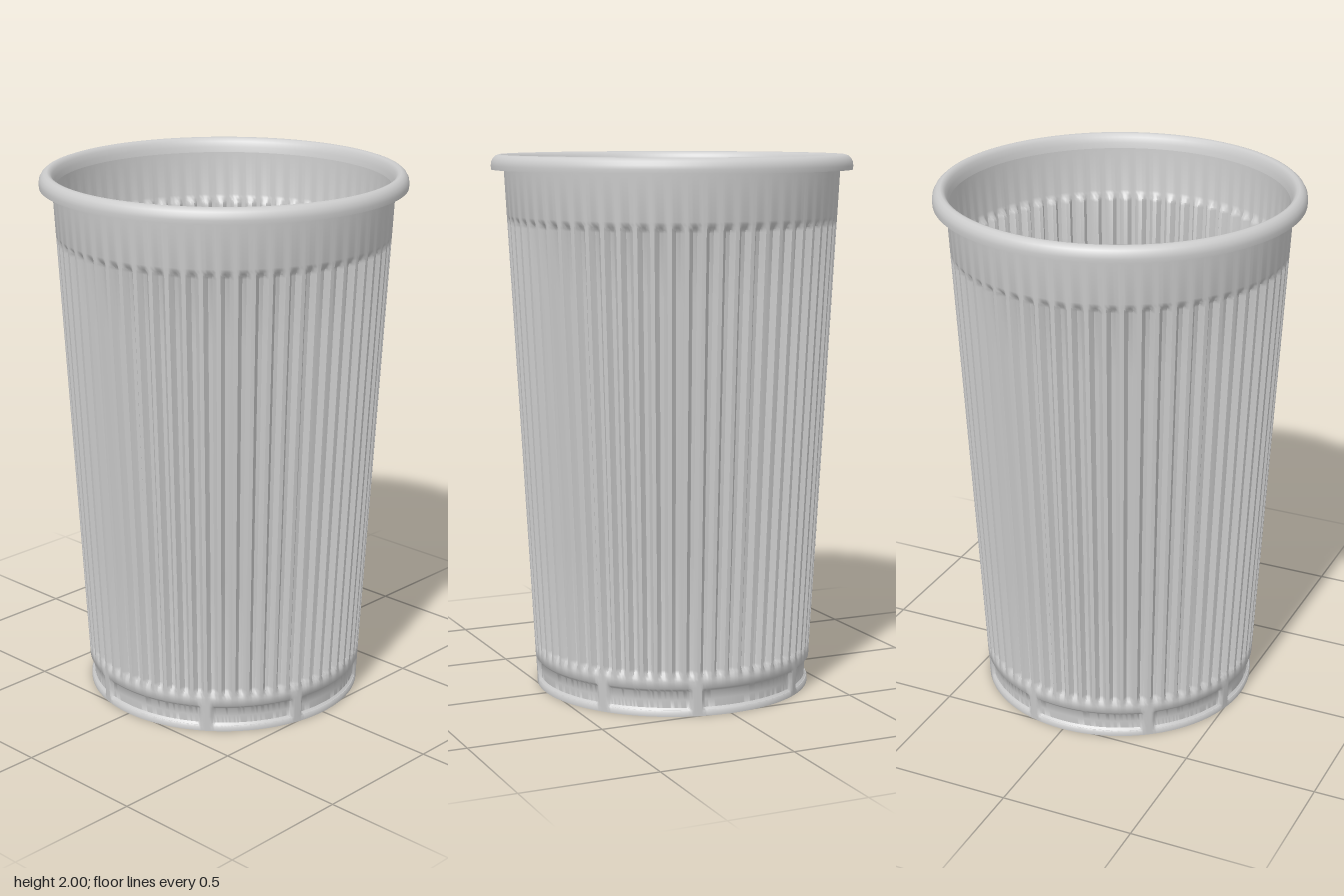
import * as THREE from 'three';
import { toCreasedNormals } from 'three/addons/utils/BufferGeometryUtils.js';

const RIBS = 64, SEGMENTS = RIBS * 8, WALL = 0.012;
const RIB_DEPTH = 0.02, PANEL_DEPTH = 0.013;
// Angles of the eight small struts around the foot, measured from +z towards +x
const STRUTS = [0, 90, 180, 270].flatMap((q) => [q - 14.5, q + 36.5]).map(THREE.MathUtils.degToRad);

const step = THREE.MathUtils.smoothstep;
const wallRadius = (y) => 0.525 + 0.097 * (y - 0.13) / 1.81;

// How far the wall is pressed in at a given height and angle
function inset(y, angle) {
  const ribZone = step(y, 0.13, 0.17) * (1 - step(y, 1.74, 1.78));
  const groove = step(Math.cos(RIBS * angle), -0.8, 0.7);
  const panelZone = step(y, 0.015, 0.03) * (1 - step(y, 0.09, 0.105));
  let nearest = Infinity;
  for (const s of STRUTS) {
    const d = Math.atan2(Math.sin(angle - s), Math.cos(angle - s));
    nearest = Math.min(nearest, Math.abs(d) * 0.52);
  }
  return RIB_DEPTH * ribZone * groove + PANEL_DEPTH * panelZone * step(nearest, 0.016, 0.03);
}

// Lathe a profile, pressing in the points flagged as wall
function lathe(profile) {
  const geo = new THREE.LatheGeometry(profile.map(([r, y]) => new THREE.Vector2(r, y)), SEGMENTS);
  const pos = geo.attributes.position;
  for (let i = 0; i < pos.count; i++) {
    const [r, y, isWall] = profile[i % profile.length];
    if (!isWall) continue;
    const angle = Math.floor(i / profile.length) / SEGMENTS * Math.PI * 2;
    const radius = r - inset(y, angle);
    pos.setXYZ(i, radius * Math.sin(angle), y, radius * Math.cos(angle));
  }
  geo.deleteAttribute('uv');
  return toCreasedNormals(geo, 0.75);
}

export function createModel() {
  const group = new THREE.Group();
  group.name = 'ribbedCup';
  const material = new THREE.MeshStandardMaterial({ color: 0xcccccc, side: THREE.DoubleSide });
  const add = (name, profile) => {
    const mesh = new THREE.Mesh(lathe(profile), material);
    mesh.name = name;
    group.add(mesh);
  };

  // Tapered wall with ribs above and recessed panels around the foot
  const heights = [0, 0.015, 0.022, 0.03, 0.06, 0.09, 0.097, 0.105, 0.13, 0.14, 0.15, 0.16, 0.17,
    0.6, 1.1, 1.5, 1.74, 1.75, 1.76, 1.77, 1.78, 1.945];
  add('outerWall', heights.map((y) => [wallRadius(y), y, true]));
  add('innerWall', heights.slice(2).reverse().map((y) => [wallRadius(y) - WALL, y, true]));

  // Rolled rim, open underneath
  add('rim', [
    [0.622, 1.945], [0.63, 1.972], [0.642, 1.98], [0.655, 1.972], [0.66, 1.945],
    [0.669, 1.945], [0.67, 1.96], [0.668, 1.974], [0.661, 1.987], [0.651, 1.996], [0.64, 2],
    [0.63, 1.997], [0.621, 1.985], [0.614, 1.965], [0.61, 1.945],
  ]);

  // Floor with a raised centre, seen from inside and from below
  add('floor', [[0.515, 0.022], [0.46, 0.022], [0.445, 0.026], [0.345, 0.073], [0.33, 0.076], [0, 0.076]]);
  add('underside', [[0, 0.066], [0.33, 0.066], [0.345, 0.063], [0.445, 0.016], [0.47, 0.01],
    [0.505, 0.008], [0.51, 0], [wallRadius(0), 0]]);
  return group;
}
